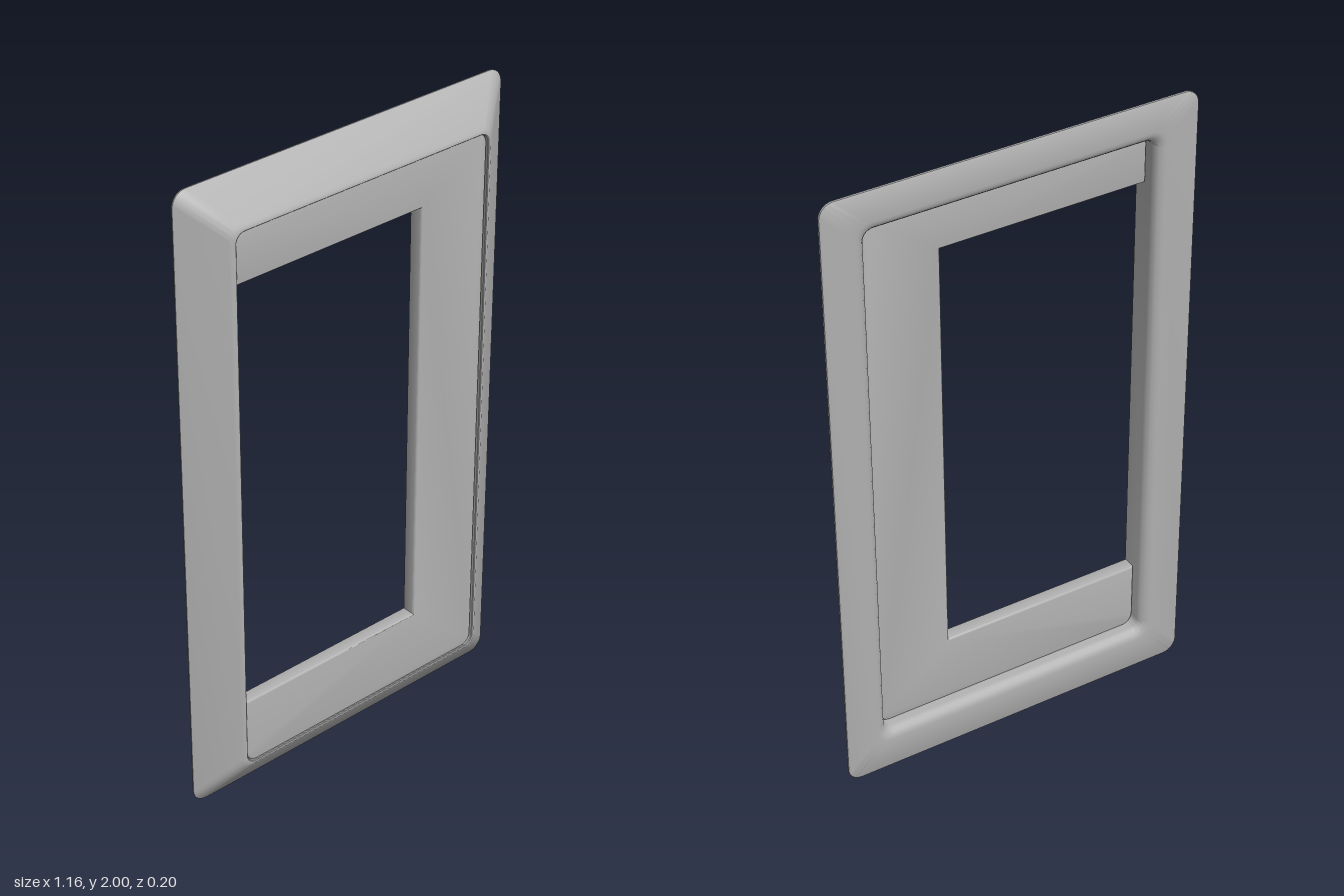
import * as THREE from 'three';
import { toCreasedNormals } from 'three/addons/utils/BufferGeometryUtils.js';

const HALF_W = 0.576, HALF_H = 0.997;

// Rounded rectangle, counter-clockwise, inset by d from the outer outline
function roundedRing(d, r) {
  const w = HALF_W - d, h = HALF_H - d, yShift = 0.04 * d, steps = 8, pts = [];
  [[1, 1], [-1, 1], [-1, -1], [1, -1]].forEach(([sx, sy], q) => {
    for (let k = 0; k <= steps; k++) {
      const a = (q + k / steps) * Math.PI / 2;
      pts.push([sx * (w - r) + r * Math.cos(a), sy * (h - r) + r * Math.sin(a) + yShift]);
    }
  });
  return pts;
}

// Bevelled frame: a closed profile carried round rounded rectangles
function frameGeometry() {
  // inset, z, corner radius
  const profile = [
    [0.006, -0.046, 0.04], [0.001, -0.043, 0.044], [0, -0.038, 0.045], [0.003, -0.034, 0.044],
    [0.112, 0.047, 0.034], [0.119, 0.052, 0.032], [0.125, 0.0545, 0.03], [0.129, 0.055, 0.03],
    [0.131, 0.053, 0.03], [0.131, -0.018, 0.03],
    [0.128, -0.030, 0.032], [0.120, -0.039, 0.038], [0.108, -0.045, 0.045], [0.098, -0.046, 0.05],
  ];
  const pos = [], index = [];
  const rings = profile.map(([d, z, r]) => roundedRing(d, r).map(([x, y]) => [x, y, z]));
  const n = rings[0].length, m = rings.length;
  rings.forEach(ring => ring.forEach(p => pos.push(...p)));
  for (let i = 0; i < m; i++) {
    for (let j = 0; j < n; j++) {
      const i2 = (i + 1) % m, j2 = (j + 1) % n;
      const a = i * n + j, b = i * n + j2, c = i2 * n + j2, e = i2 * n + j;
      index.push(a, b, c, a, c, e);
    }
  }
  const geo = new THREE.BufferGeometry();
  geo.setAttribute('position', new THREE.Float32BufferAttribute(pos, 3));
  geo.setIndex(index);
  return toCreasedNormals(geo, 0.6);
}

// C-shaped panel, open on the side where the window meets the frame
function panelGeometry() {
  const bevel = 0.006;
  const L = -0.443 + bevel, R = 0.443 - bevel, B = -0.864 + bevel, T = 0.874 - bevel;
  const winR = 0.203 + bevel, winB = -0.643 - bevel, winT = 0.719 + bevel, r = 0.03;
  const s = new THREE.Shape();
  s.moveTo(L + r, B);
  s.lineTo(R - r, B);
  s.absarc(R - r, B + r, r, -Math.PI / 2, 0);
  s.lineTo(R, T - r);
  s.absarc(R - r, T - r, r, 0, Math.PI / 2);
  s.lineTo(L + r, T);
  s.absarc(L + r, T - r, r, Math.PI / 2, Math.PI);
  s.lineTo(L, winT);
  s.lineTo(winR, winT);
  s.lineTo(winR, winB);
  s.lineTo(L, winB);
  s.lineTo(L, B + r);
  s.absarc(L + r, B + r, r, Math.PI, Math.PI * 1.5);
  const geo = new THREE.ExtrudeGeometry(s, {
    depth: 0.046 - 2 * bevel, bevelEnabled: true, bevelThickness: bevel,
    bevelSize: bevel, bevelSegments: 3, curveSegments: 8,
  });
  geo.translate(0, 0, 0.004 + bevel);
  return toCreasedNormals(geo, 0.6);
}

export function createModel() {
  const grey = new THREE.MeshStandardMaterial({ color: 0xb0b0b0 });
  grey.name = 'light grey';

  const frame = new THREE.Mesh(frameGeometry(), grey);
  frame.name = 'bevelledFrame';
  const panel = new THREE.Mesh(panelGeometry(), grey);
  panel.name = 'insetPanel';

  // The whole piece is turned slightly
  const assembly = new THREE.Group();
  assembly.name = 'framedPanel';
  assembly.add(frame, panel);
  assembly.rotation.set(0, -0.101, -0.005);
  assembly.position.y = 1;

  const model = new THREE.Group();
  model.name = 'windowFrame';
  model.add(assembly);
  return model;
}
